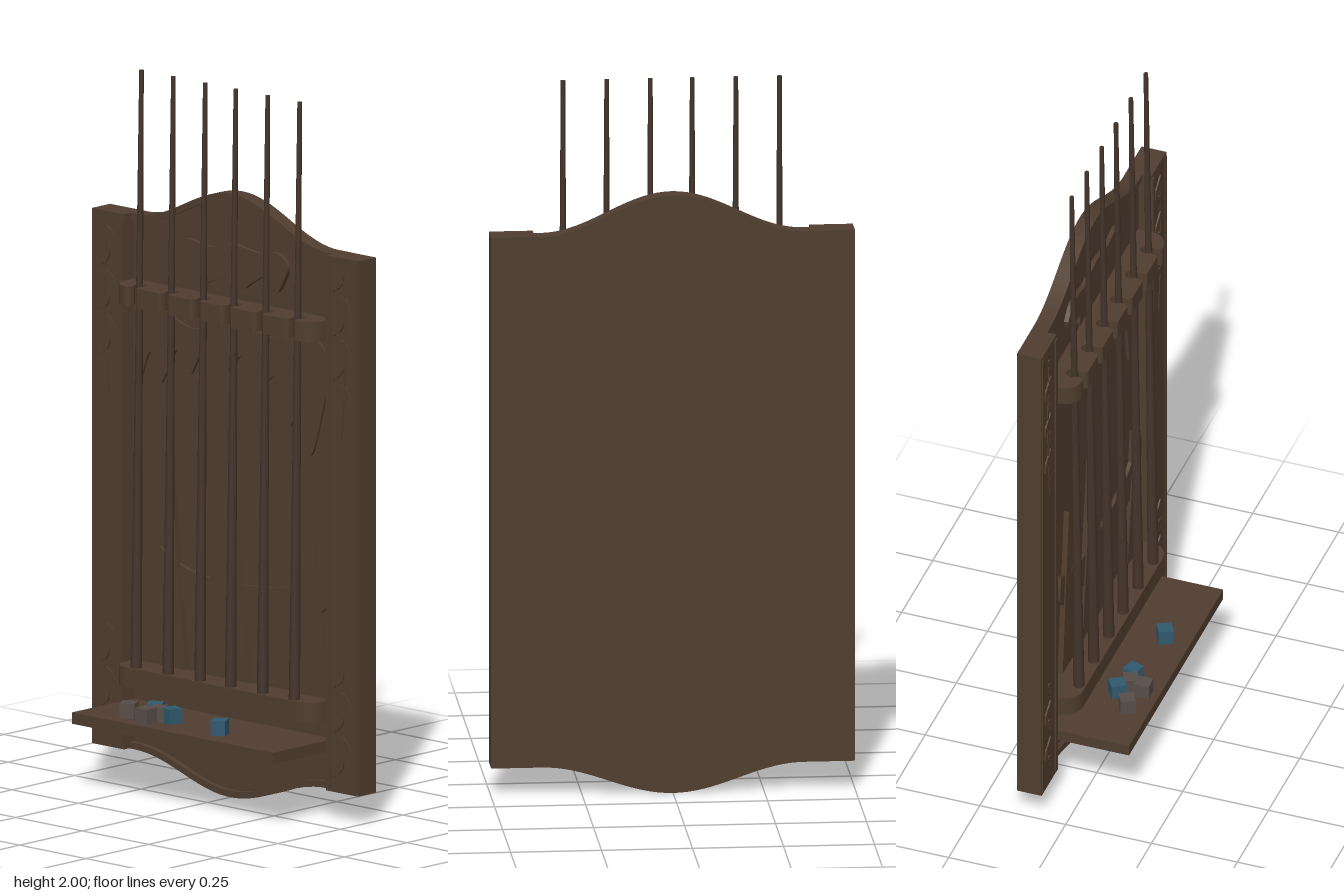
import * as THREE from 'three';

const mat = (name, color) => {
  const m = new THREE.MeshStandardMaterial({ color });
  m.name = name;
  return m;
};

export function createModel() {
  const wood = mat('brown wood', 0x4f3d2f);
  const dark = mat('dark cue wood', 0x43342a);
  const blue = mat('blue chalk', 0x30596e);
  const grey = mat('grey chalk', 0x574d48);
  const root = new THREE.Group();
  root.name = 'cueRack';

  const add = (parent, name, geo, material, x = 0, y = 0, z = 0) => {
    const m = new THREE.Mesh(geo, material);
    m.name = name;
    m.position.set(x, y, z);
    parent.add(m);
    return m;
  };
  const box = (name, w, h, d, x, y, z, material = wood) =>
    add(root, name, new THREE.BoxGeometry(w, h, d), material, x, y, z);
  const extrude = (shape, depth, curveSegments = 8) =>
    new THREE.ExtrudeGeometry(shape, { depth, bevelEnabled: false, curveSegments });

  // Back panel with an arched top and a sagging bottom
  const ease = (x) => {
    const t = Math.min(1, Math.abs(x) / 0.36);
    return 0.5 + 0.5 * Math.cos(Math.PI * t);
  };
  const topY = (x) => 1.58 + 0.11 * ease(x);
  const botY = (x) => 0.08 - 0.08 * ease(x);
  const outline = (half, steps, fTop, fBottom) => {
    const pts = [];
    for (let i = 0; i <= steps; i++) {
      const x = -half + (2 * half * i) / steps;
      pts.push(new THREE.Vector2(x, fBottom(x)));
    }
    for (let i = steps; i >= 0; i--) {
      const x = -half + (2 * half * i) / steps;
      pts.push(new THREE.Vector2(x, fTop(x)));
    }
    return new THREE.Shape(pts);
  };
  add(root, 'backPanel', extrude(outline(0.385, 36, topY, botY), 0.035), wood, 0, 0, -0.142);

  // Raised rims following the arch and the bottom curve
  add(root, 'topRim', extrude(outline(0.38, 36, topY, (x) => topY(x) - 0.02), 0.01), wood, 0, 0, -0.107);
  add(root, 'bottomRim', extrude(outline(0.38, 36, (x) => botY(x) + 0.018, botY), 0.016), wood, 0, 0, -0.107);

  // Low carved relief from a closed smooth outline
  const relief = (name, pts, z, depth = 0.008, smooth = true) => {
    const v = pts.map(([x, y]) => new THREE.Vector2(x, y));
    const s = new THREE.Shape();
    if (smooth) {
      s.moveTo(v[0].x, v[0].y);
      s.splineThru([...v.slice(1), v[0]]);
    } else s.setFromPoints(v);
    return add(root, name, extrude(s, depth, v.length * 3), wood, 0, 0, z);
  };

  // Side stiles with beading and carved leaves
  const leaf = (cx, cy, len, angle, z) => {
    const c = Math.cos(angle), s = Math.sin(angle);
    const pts = [[-0.5, 0], [-0.15, 0.2], [0.1, 0.13], [0.5, 0], [0.15, -0.2], [-0.2, -0.14]];
    relief('carvedLeaf', pts.map(([u, v]) => [cx + len * (u * c - v * s), cy + len * (u * s + v * c)]), z, 0.005);
  };
  for (const side of [-1, 1]) {
    box('stile', 0.12, 1.5, 0.072, side * 0.44, 0.83, -0.106);
    box('innerBead', 0.014, 1.48, 0.006, side * 0.39, 0.83, -0.068);
    box('outerBead', 0.01, 1.48, 0.004, side * 0.492, 0.83, -0.069);
    for (let i = 0; i < 6; i++) {
      const a = Math.PI / 2 + side * (i % 2 ? 0.7 : -0.6);
      const x = side * (i % 2 ? 0.455 : 0.428);
      leaf(x, 1.51 - i * 0.062, 0.07, a, -0.071);
      if (i < 5) leaf(x, 0.15 + i * 0.062, 0.07, a, -0.071);
    }
    // Hanging stem below the upper leaves
    relief('carvedStem', [[side * 0.443, 1.5], [side * 0.45, 1.3], [side * 0.437, 1.1],
      [side * 0.443, 1.1], [side * 0.456, 1.3], [side * 0.449, 1.5]], -0.071, 0.004);
  }

  // Carved animal under the arch
  relief('carvedAnimal', [[-0.22, 1.5], [-0.17, 1.54], [-0.08, 1.53], [0, 1.55], [0.1, 1.54], [0.17, 1.55],
    [0.21, 1.52], [0.2, 1.48], [0.17, 1.44], [0.14, 1.48], [0.09, 1.46], [0.04, 1.43], [0.01, 1.46],
    [-0.06, 1.44], [-0.12, 1.42], [-0.13, 1.46], [-0.2, 1.46]], -0.108, 0.014);
  // Carved canopy with drooping foliage
  relief('carvedCanopy', [[-0.37, 1.3], [-0.28, 1.33], [-0.15, 1.29], [0, 1.33], [0.15, 1.31], [0.28, 1.34],
    [0.36, 1.27], [0.33, 1.1], [0.29, 1.0], [0.26, 1.14], [0.21, 1.07], [0.17, 1.2], [0.1, 1.17],
    [0.04, 1.24], [-0.03, 1.19], [-0.1, 1.25], [-0.16, 1.16], [-0.21, 1.22], [-0.27, 1.12],
    [-0.31, 1.2], [-0.36, 1.1]], -0.108, 0.009);
  // Carved ground bands and tall spires
  relief('carvedBank', [[-0.27, 0.66], [-0.15, 0.61], [0.05, 0.6], [0.25, 0.63], [0.37, 0.69],
    [0.35, 0.58], [0.22, 0.52], [0, 0.5], [-0.18, 0.52], [-0.27, 0.57]], -0.108, 0.012);
  for (const [x, y, w] of [[-0.22, 0.85, 0.05], [-0.02, 1.05, 0.09], [0.31, 0.75, 0.06]])
    relief('carvedSpire', [[x - w, 0.33], [x + w, 0.33], [x, y]], -0.108, 0.016, false);

  // Rails: rounded front corners, upper one notched for the cues
  const cueX = [-0.3, -0.18, -0.06, 0.055, 0.175, 0.295];
  const rail = (name, top, height, notched) => {
    const s = new THREE.Shape();
    s.moveTo(-0.375, -0.108);
    s.lineTo(0.375, -0.108);
    s.lineTo(0.375, -0.065);
    s.quadraticCurveTo(0.37, -0.02, 0.32, -0.014);
    if (notched) for (const x of [...cueX].reverse()) {
      s.lineTo(x + 0.02, -0.014);
      s.quadraticCurveTo(x + 0.012, -0.018, x + 0.012, -0.03);
      s.absarc(x, -0.052, 0.018, 0.85, Math.PI - 0.85, true);
      s.lineTo(x - 0.012, -0.03);
      s.quadraticCurveTo(x - 0.012, -0.018, x - 0.02, -0.014);
    }
    s.lineTo(-0.325, -0.014);
    s.quadraticCurveTo(-0.37, -0.02, -0.375, -0.065);
    const geo = extrude(s, height);
    geo.rotateX(Math.PI / 2);
    add(root, name, geo, wood, 0, top, 0);
  };
  rail('upperRail', 1.395, 0.055, true);
  rail('lowerRail', 0.328, 0.055, false);

  // Shelf
  box('shelf', 0.755, 0.032, 0.248, 0, 0.202, 0.016);

  // Cues, leaning back slightly
  const bottom = new THREE.Vector3(0, 0.328, -0.034), tip = new THREE.Vector3(0, 1.999, -0.055);
  const dir = tip.clone().sub(bottom);
  for (const x of cueX) {
    const cue = new THREE.Group();
    cue.name = 'cue';
    cue.position.set(x, bottom.y, bottom.z);
    cue.quaternion.setFromUnitVectors(new THREE.Vector3(0, 1, 0), dir.clone().normalize());
    const len = dir.length(), butt = 0.55;
    add(cue, 'butt', new THREE.CylinderGeometry(0.0125, 0.016, butt, 10), dark, 0, butt / 2, 0);
    add(cue, 'shaft', new THREE.CylinderGeometry(0.0065, 0.0125, len - butt, 10), dark, 0, (len + butt) / 2, 0);
    root.add(cue);
  }

  // Chalk cubes on the shelf
  const chalks = [[-0.222, 0.078, 0.5, grey], [-0.167, 0.03, 0.6, blue], [-0.13, 0.056, 0.45, grey],
    [-0.088, 0.048, -0.3, blue], [-0.14, 0.097, 0.05, grey], [0.11, 0.068, 0.5, blue]];
  for (const [x, z, turn, material] of chalks)
    box('chalkCube', 0.042, 0.042, 0.042, x, 0.239, z, material).rotation.y = turn;

  return root;
}
